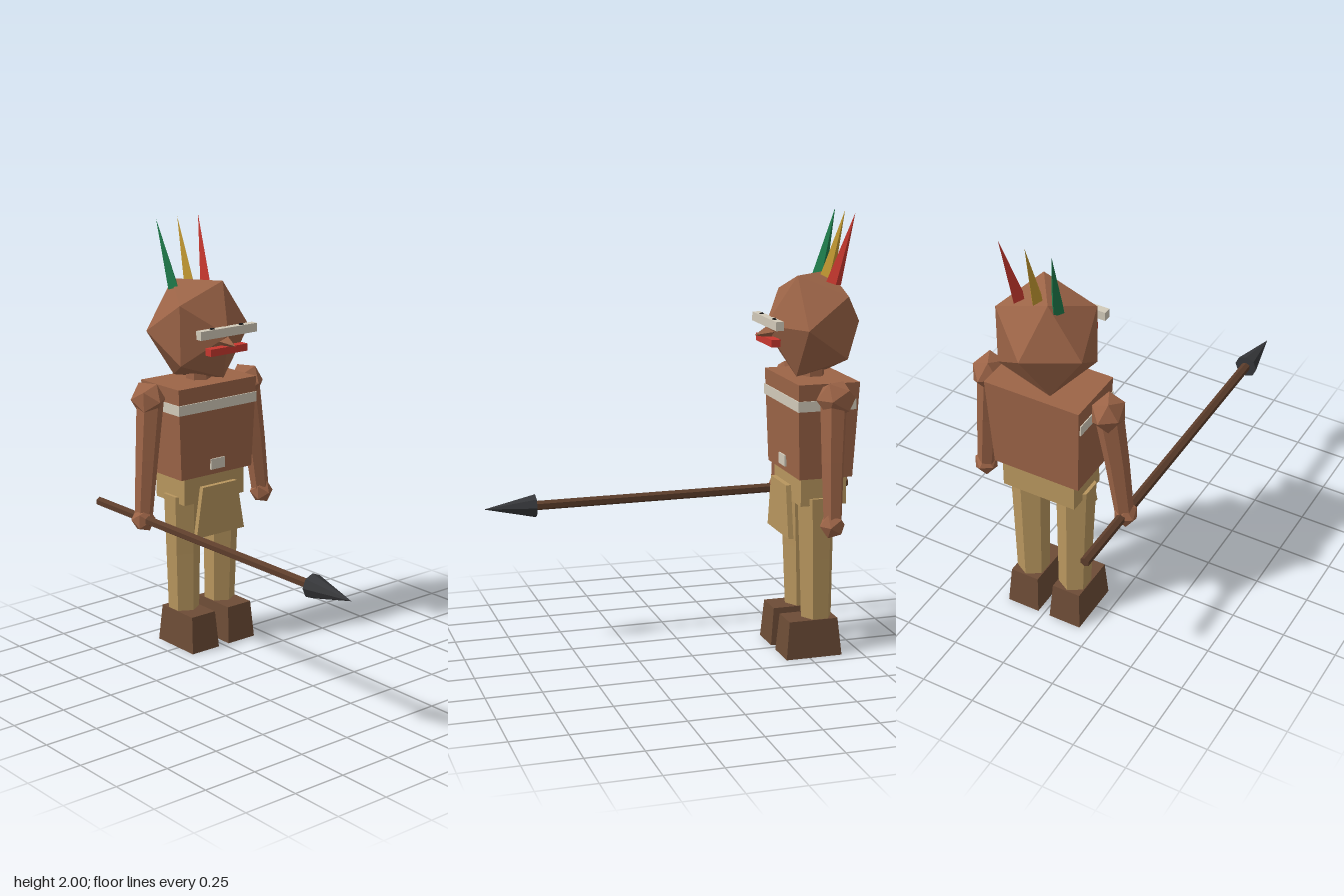
import * as THREE from 'three';
import { ConvexGeometry } from 'three/addons/geometries/ConvexGeometry.js';

const mat = (name, color) => {
  const m = new THREE.MeshStandardMaterial({ color });
  m.name = name;
  return m;
};

// Give a geometry one normal per face
const facet = (geometry) => {
  const g = geometry.index ? geometry.toNonIndexed() : geometry;
  g.computeVertexNormals();
  return g;
};

// Twenty-sided ball with its poles on z and five-point rings of radius rx, ry
function ball(rx, ry, rz) {
  const points = [new THREE.Vector3(0, 0, rz), new THREE.Vector3(0, 0, -rz)];
  for (let i = 0; i < 10; i++) {
    const a = (i * Math.PI) / 5;
    const z = (i % 2 ? -0.447 : 0.447) * rz;
    points.push(new THREE.Vector3(rx * Math.cos(a), ry * Math.sin(a), z));
  }
  return new ConvexGeometry(points);
}

// Box between two rectangles: { y, w, d, z }
function taperedBox(bottom, top) {
  const g = new THREE.BoxGeometry(1, 1, 1);
  const p = g.attributes.position;
  for (let i = 0; i < p.count; i++) {
    const s = p.getY(i) > 0 ? top : bottom;
    p.setXYZ(i, p.getX(i) * s.w, s.y, p.getZ(i) * s.d + s.z);
  }
  return facet(g);
}

// Six-sided limb through sections [x, y, z, radius], listed from the top
function limb(sections, side) {
  const n = sections.length - 1;
  const g = new THREE.CylinderGeometry(1, 1, n, 6, n);
  const p = g.attributes.position;
  for (let i = 0; i < p.count; i++) {
    const [x, y, z, r] = sections[Math.round(n / 2 - p.getY(i))];
    p.setXYZ(i, x * side + p.getX(i) * r, y, z + p.getZ(i) * r);
  }
  return facet(g);
}

// Tapered rod or cone from point a to point b
function rod(a, b, ra, rb, sides, flatX = 1) {
  const from = new THREE.Vector3(...a);
  const dir = new THREE.Vector3(...b).sub(from);
  const length = dir.length();
  const g = new THREE.CylinderGeometry(rb, ra, length, sides);
  g.translate(0, length / 2, 0);
  g.scale(flatX, 1, 1);
  g.applyQuaternion(new THREE.Quaternion().setFromUnitVectors(new THREE.Vector3(0, 1, 0), dir.normalize()));
  g.translate(...a);
  return facet(g);
}

export function createModel() {
  const model = new THREE.Group();
  model.name = 'spearWarrior';

  const skin = mat('skin', 0x9c6447);
  const hide = mat('tanHide', 0xb8965e);
  const paint = mat('paleBone', 0xd2cab9);
  const red = mat('red', 0xc8382f);
  const green = mat('green', 0x1f7d4c);
  const yellow = mat('yellow', 0xc49a32);
  const leather = mat('bootLeather', 0x6d4c36);
  const wood = mat('shaftWood', 0x5c3d2b);
  const stone = mat('spearStone', 0x36373a);
  const black = mat('eyeBlack', 0x151515);

  const add = (name, geometry, material, x = 0, y = 0, z = 0) => {
    const mesh = new THREE.Mesh(geometry, material);
    mesh.name = name;
    mesh.position.set(x, y, z);
    model.add(mesh);
    return mesh;
  };
  const box = (name, w, h, d, material, x, y, z) =>
    add(name, new THREE.BoxGeometry(w, h, d), material, x, y, z);

  // Torso and its trim
  add('torso', taperedBox(
    { y: 0.84, w: 0.41, d: 0.25, z: -0.555 },
    { y: 1.27, w: 0.45, d: 0.285, z: -0.558 }), skin);
  box('chestBand', 0.452, 0.047, 0.272, paint, 0, 1.173, -0.549);
  box('bellyPlate', 0.08, 0.05, 0.009, paint, 0, 0.89, -0.425);
  add('neck', rod([0, 1.22, -0.56], [0, 1.36, -0.56], 0.06, 0.055, 6), skin);

  // Hips and loincloth
  box('hips', 0.35, 0.135, 0.215, hide, 0, 0.7775, -0.557);
  add('loincloth', taperedBox(
    { y: 0.555, w: 0.28, d: 0.024, z: -0.418 },
    { y: 0.793, w: 0.2, d: 0.024, z: -0.418 }), hide);

  // Head and face
  add('head', ball(0.22, 0.236, 0.222), skin, 0, 1.503, -0.56);
  box('eyeBand', 0.32, 0.04, 0.035, paint, 0, 1.522, -0.348);
  box('mouth', 0.21, 0.033, 0.042, red, 0, 1.438, -0.351);
  add('nose', rod([0, 1.478, -0.37], [0, 1.462, -0.287], 0.036, 0, 4), skin);

  // Feathers lean back and fan outwards
  [[-1, green], [0, yellow], [1, red]].forEach(([s, material]) =>
    add('feather', rod([s * 0.092, 1.69, -0.62], [s * 0.12, 2, -0.705], 0.036, 0, 4, 0.8), material));

  for (const side of [-1, 1]) {
    add('eye', ball(0.018, 0.019, 0.016), black, side * 0.083, 1.53, -0.348);

    // Arm
    add('shoulder', ball(0.067, 0.077, 0.092), skin, side * 0.287, 1.213, -0.564);
    add('arm', limb([
      [0.282, 1.2, -0.555, 0.062],
      [0.315, 0.945, -0.543, 0.052],
      [0.345, 0.68, -0.535, 0.042]], side), skin);
    add('hand', ball(0.05, 0.054, 0.058), skin, side * 0.35, 0.664, -0.532);

    // Leg
    add('leg', limb([
      [0.115, 0.743, -0.543, 0.087],
      [0.111, 0.46, -0.55, 0.079],
      [0.107, 0.16, -0.556, 0.072]], side), hide);
    const boot = taperedBox(
      { y: 0, w: 0.155, d: 0.265, z: -0.522 },
      { y: 0.175, w: 0.135, d: 0.23, z: -0.52 });
    add('boot', boot, leather, side * 0.107);
  }

  // Spear held level in the right hand
  add('spearShaft', rod([-0.35, 0.667, -0.88], [-0.35, 0.667, 0.66], 0.022, 0.022, 6), wood);
  add('spearHead', rod([-0.35, 0.667, 0.64], [-0.35, 0.667, 0.876], 0.054, 0, 8), stone);

  return model;
}
